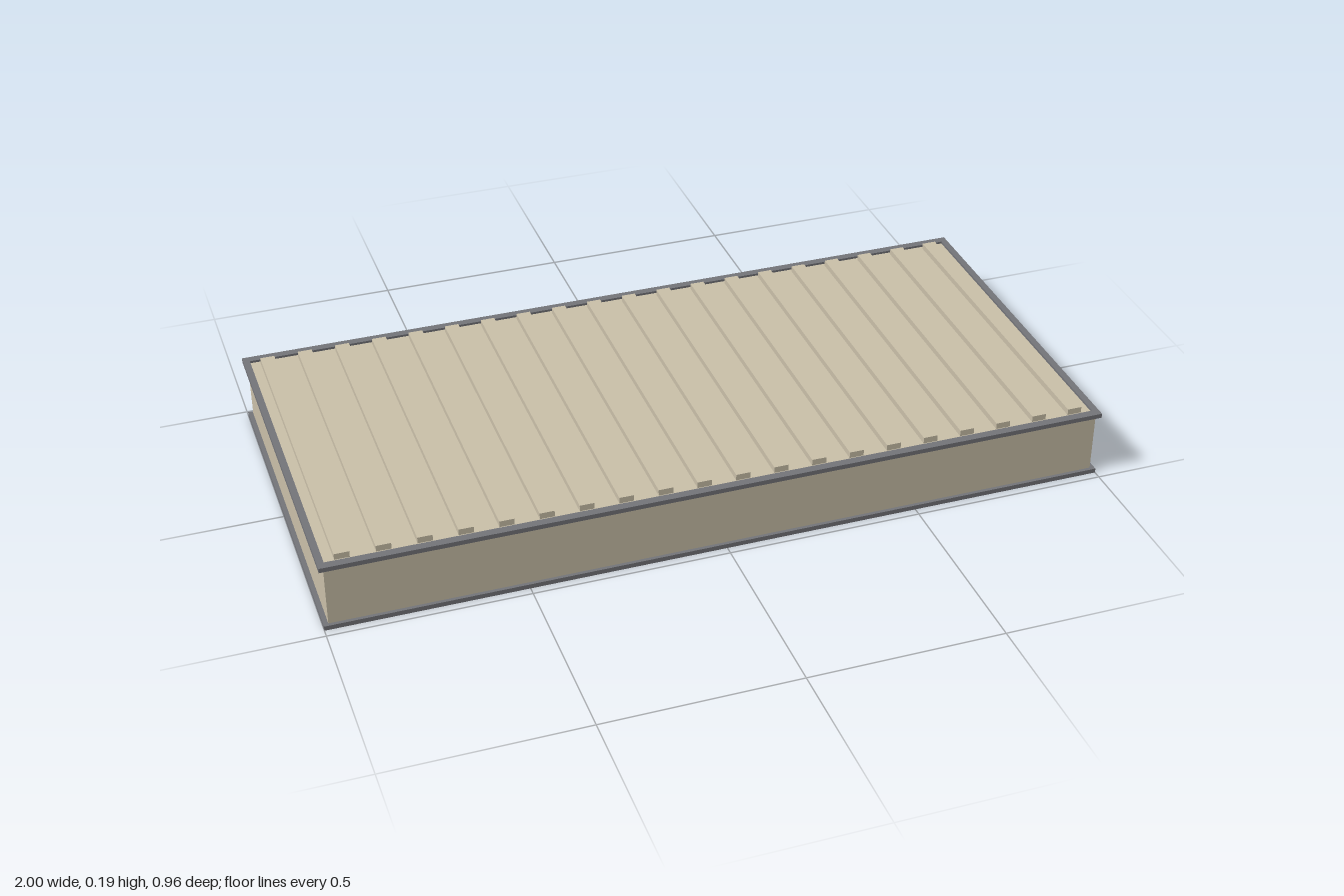
import * as THREE from 'three';

export function createModel() {
  const model = new THREE.Group();
  model.name = 'ribbedSlab';
  const tan = new THREE.MeshStandardMaterial({ color: 0xc9bfa8 });
  tan.name = 'tan panel';
  const grey = new THREE.MeshStandardMaterial({ color: 0x737479 });
  grey.name = 'grey trim';

  const box = (name, material, w, h, d, x, y, z, parent = model) => {
    const mesh = new THREE.Mesh(new THREE.BoxGeometry(w, h, d), material);
    mesh.name = name;
    mesh.position.set(x, y, z);
    parent.add(mesh);
  };

  // Main slab
  box('body', tan, 1.976, 0.168, 0.94, 0, 0.09, 0);

  // Trim frames round the bottom and top edges
  for (const [name, y] of [['bottomTrim', 0.006], ['topTrim', 0.174]]) {
    const frame = new THREE.Group();
    frame.name = name;
    model.add(frame);
    for (const s of [-1, 1]) {
      box('longTrim', grey, 2, 0.012, 0.021, 0, y, s * 0.4685, frame);
      box('endTrim', grey, 0.017, 0.012, 0.916, s * 0.9915, y, 0, frame);
    }
  }

  // Evenly spaced raised ribs across the top
  const count = 20, spacing = 0.0988;
  for (let i = 0; i < count; i++) {
    const x = (i - (count - 1) / 2) * spacing;
    box('rib', tan, 0.037, 0.017, 0.896, x, 0.1815, 0);
  }
  return model;
}
